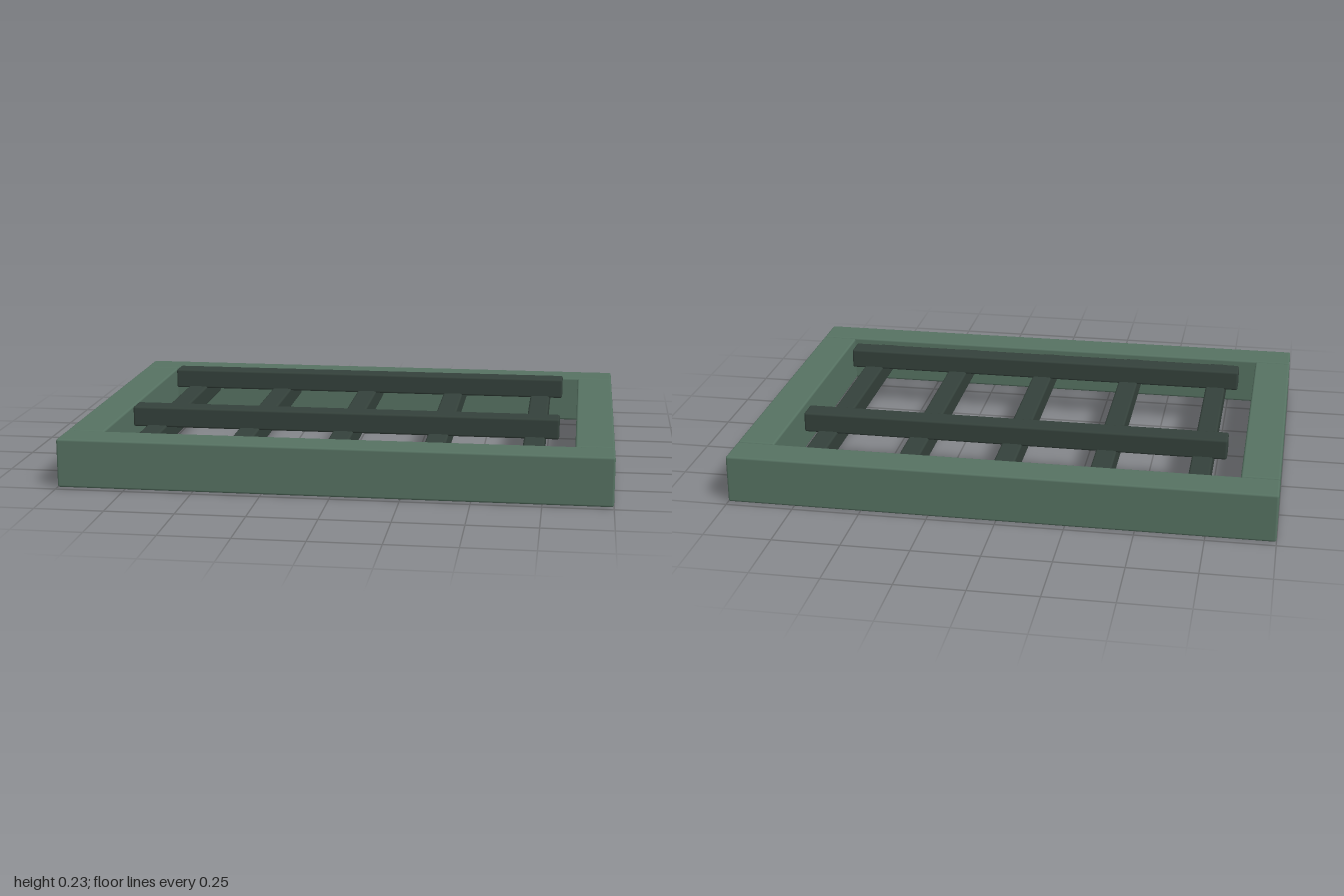
import * as THREE from 'three';
import { RoundedBoxGeometry } from 'three/addons/geometries/RoundedBoxGeometry.js';

export function createModel() {
  const group = new THREE.Group();
  group.name = 'slattedFrame';

  const frameGreen = new THREE.MeshStandardMaterial({ color: 0x567262 });
  frameGreen.name = 'frameGreen';
  const darkGreen = new THREE.MeshStandardMaterial({ color: 0x34413b });
  darkGreen.name = 'darkGreen';

  // A beam with softly eased edges, placed by its centre
  function beam(name, material, size, position) {
    const mesh = new THREE.Mesh(new RoundedBoxGeometry(...size, 2, 0.008), material);
    mesh.name = name;
    mesh.position.set(...position);
    group.add(mesh);
  }

  // Outer frame: full-width front and back rails, side rails between them
  const height = 0.18;
  for (const [side, s] of [['front', 1], ['back', -1]]) {
    beam(side + 'Rail', frameGreen, [2, height, 0.14], [0, height / 2, s * 0.655]);
  }
  for (const [side, s] of [['left', 1], ['right', -1]]) {
    beam(side + 'Rail', frameGreen, [0.14, height, 1.162], [s * 0.93, height / 2, 0]);
  }

  // Five bars running front to back
  for (let i = -2; i <= 2; i++) {
    beam('longBar' + (i + 3), darkGreen, [0.077, 0.077, 1.162], [i * 0.355, 0.123, 0]);
  }

  // Two cross bars resting on top of them
  for (const [side, s] of [['front', 1], ['back', -1]]) {
    beam(side + 'CrossBar', darkGreen, [1.6, 0.077, 0.085], [0, 0.1925, s * 0.35]);
  }

  return group;
}
